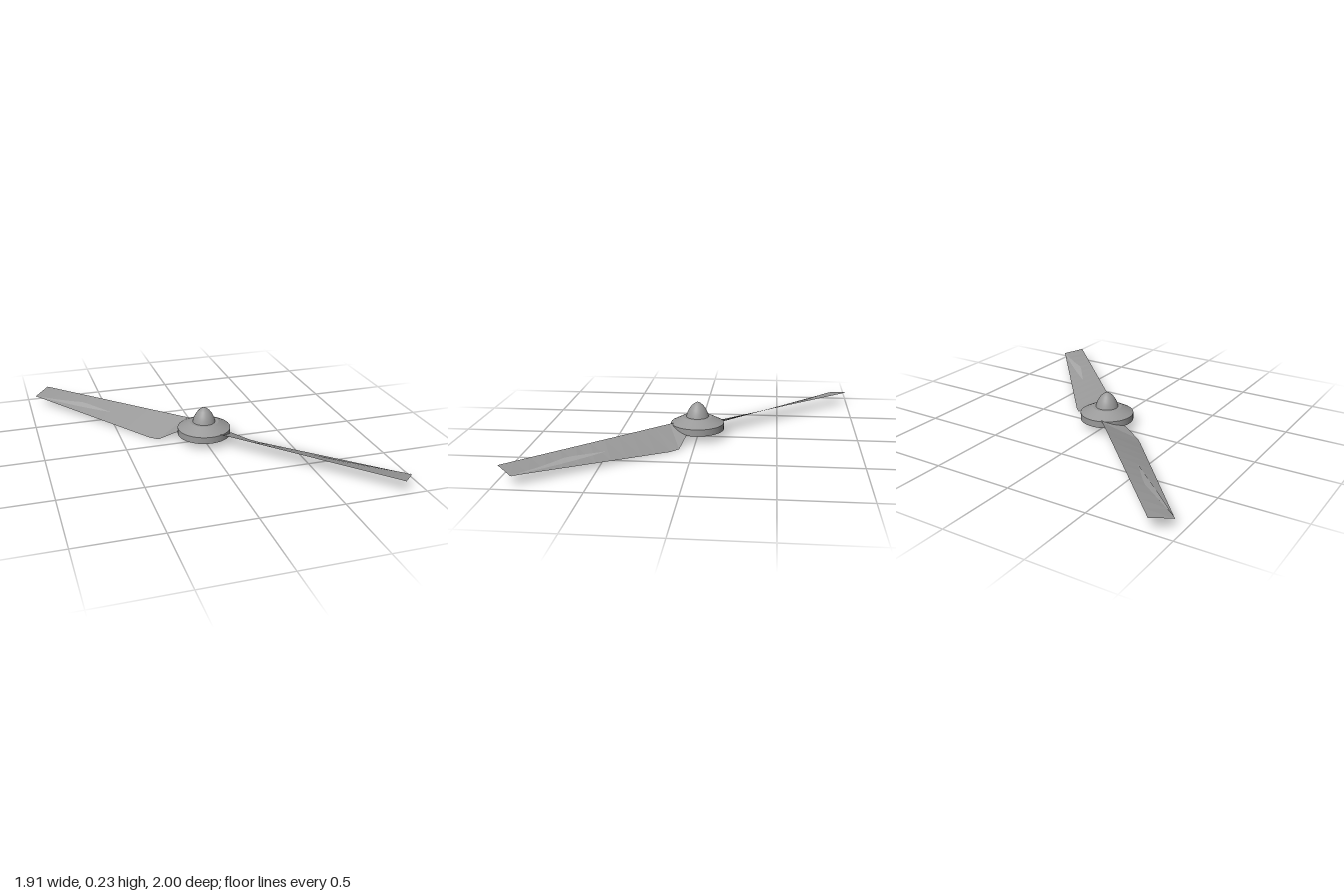
import * as THREE from 'three';

const grey = new THREE.MeshStandardMaterial({ color: 0x999999, side: THREE.DoubleSide });
grey.name = 'grey';
const paleGrey = new THREE.MeshStandardMaterial({ color: 0xa6a6a6, side: THREE.DoubleSide });
paleGrey.name = 'paleGrey';

const V = (x, y, z) => new THREE.Vector3(x, y, z);

// Sheet between two matching rows of points, facing up
function sheet(low, high, name, material) {
  const pos = [], index = [];
  low.forEach((p, i) => {
    pos.push(...p.toArray(), ...high[i].toArray());
    if (i) {
      const a = 2 * i - 2;
      index.push(a, a + 1, a + 2, a + 1, a + 3, a + 2);
    }
  });
  const g = new THREE.BufferGeometry();
  g.setAttribute('position', new THREE.Float32BufferAttribute(pos, 3));
  g.setIndex(index);
  const flat = g.toNonIndexed();
  flat.computeVertexNormals();
  const mesh = new THREE.Mesh(flat, material);
  mesh.name = name;
  return mesh;
}

// Solid of revolution; each segment list is a smooth run, kept apart for sharp edges
function turned(runs, name, material) {
  const group = new THREE.Group();
  group.name = name;
  for (const run of runs) {
    const pts = run.map(([r, y]) => new THREE.Vector2(r, y));
    const mesh = new THREE.Mesh(new THREE.LatheGeometry(pts, 48), material);
    mesh.name = name + 'Surface';
    group.add(mesh);
  }
  return group;
}

// Outer blade edges, from the widest point to the tip
const lowA = V(0.32, 0, 0.13), lowB = V(0.955, 0.06, 0.9);
const highA = V(0.2, 0.095, 0.303), highB = V(0.86, 0.083, 1);
function onBlade(t, f, lift = 0) {
  const p = lowA.clone().lerp(lowB, t).lerp(highA.clone().lerp(highB, t), f);
  p.y += lift;
  return p;
}

function makeBlade(name) {
  const blade = new THREE.Group();
  blade.name = name;

  // Pitched sheet: root, shoulder, then the long taper
  const low = [V(0.13, 0.062, 0.045), V(0.17, 0.05, 0.055), V(0.275, 0.003, 0.085)];
  const high = [V(0.045, 0.097, 0.14), V(0.07, 0.097, 0.167), V(0.15, 0.096, 0.251)];
  for (let i = 0; i <= 10; i++) {
    low.push(onBlade(i / 10, 0));
    high.push(onBlade(i / 10, 1));
  }
  blade.add(sheet(low, high, 'bladeSheet', grey));

  // Slim pale sliver towards the tip, on both faces
  for (const lift of [0.003, -0.003]) {
    const a = [], b = [];
    for (let i = 0; i <= 12; i++) {
      const s = i / 12, t = 0.37 + 0.63 * s;
      const f = s < 0.4 ? 0.45 + 0.25 * s : 0.55 * (1 - s) / 0.6;
      a.push(onBlade(t, 0.45 * (1 - s), lift));
      b.push(onBlade(t, f, lift));
    }
    blade.add(sheet(a, b, 'bladeSliver', paleGrey));
  }
  return blade;
}

export function createModel() {
  const model = new THREE.Group();
  model.name = 'propeller';

  // Hollow flanged hub, open underneath
  model.add(turned([
    [[0.147, 0.05], [0.166, 0.05]],
    [[0.166, 0.05], [0.166, 0.092]],
    [[0.166, 0.092], [0.091, 0.131]],
    [[0.091, 0.131], [0.06, 0.131]],
    [[0, 0.088], [0.147, 0.088]],
    [[0.147, 0.088], [0.147, 0.05]],
  ], 'hub', grey));

  // Pointed nose cap
  model.add(turned([
    [[0.071, 0.13], [0.064, 0.155], [0.052, 0.18], [0.036, 0.202], [0.017, 0.218], [0, 0.226]],
  ], 'noseCap', grey));

  // Two blades, half a turn apart
  for (let i = 0; i < 2; i++) {
    const blade = makeBlade(i ? 'rearBlade' : 'frontBlade');
    blade.rotation.y = i * Math.PI;
    model.add(blade);
  }
  return model;
}
